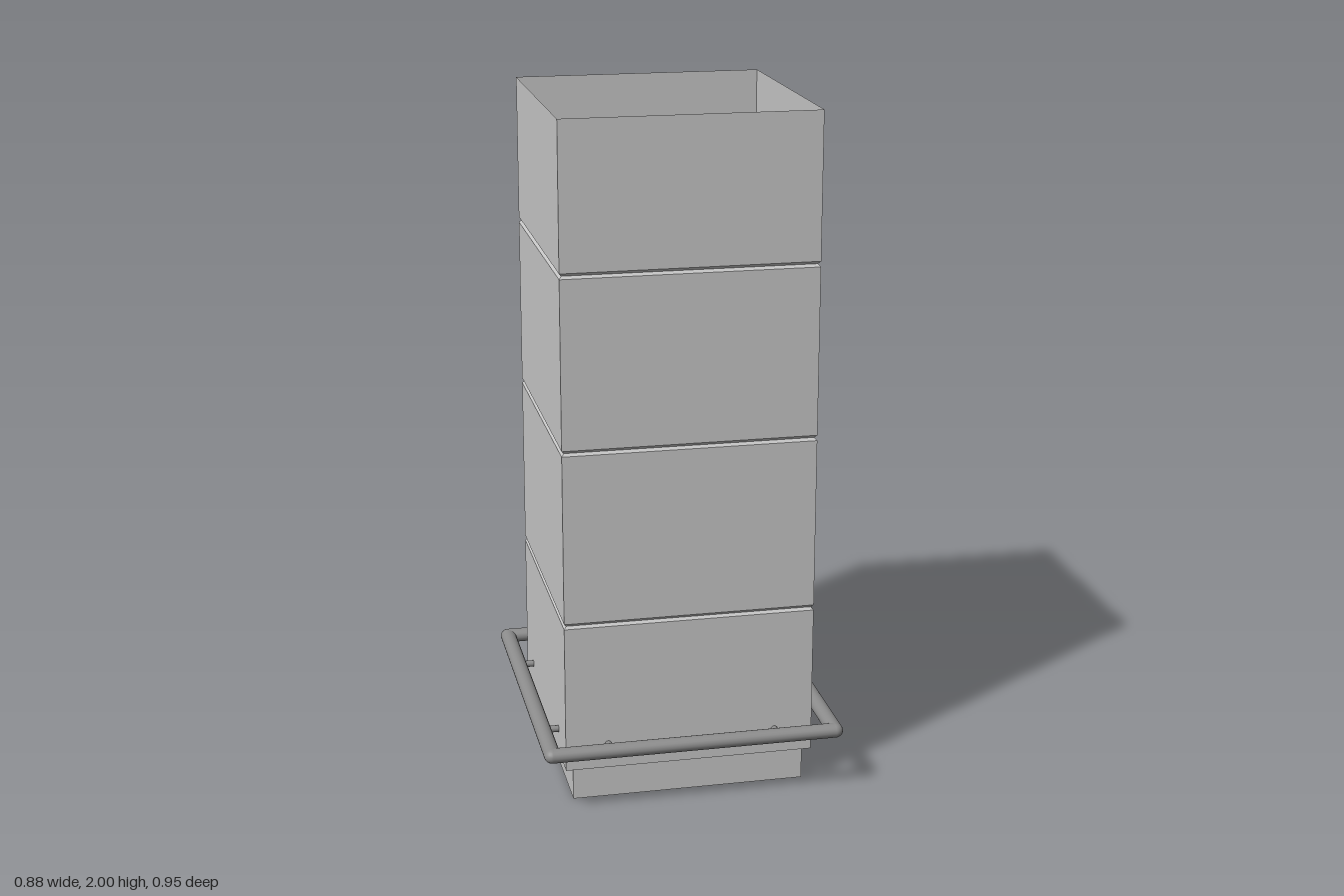
import * as THREE from 'three';

const shellMat = new THREE.MeshStandardMaterial({ color: 0xc8c8c8, side: THREE.DoubleSide });
shellMat.name = 'light grey sheet';
const railMat = new THREE.MeshStandardMaterial({ color: 0x8c8c8c });
railMat.name = 'dark grey rail';

// Thin open square duct: each level is [halfX, y, halfZ], joined by four flat walls
function squareDuct(levels) {
  const pos = [];
  const corner = ([hx, y, hz], k) => {
    const [sx, sz] = [[1, 1], [1, -1], [-1, -1], [-1, 1]][k % 4];
    return [sx * hx, y, sz * hz];
  };
  for (let i = 0; i < levels.length - 1; i++) {
    for (let k = 0; k < 4; k++) {
      const a = corner(levels[i], k), b = corner(levels[i], k + 1);
      const c = corner(levels[i + 1], k + 1), d = corner(levels[i + 1], k);
      pos.push(...a, ...b, ...c, ...a, ...c, ...d);
    }
  }
  const g = new THREE.BufferGeometry();
  g.setAttribute('position', new THREE.Float32BufferAttribute(pos, 3));
  g.computeVertexNormals();
  return g;
}

// Straight round bar between two points
function bar(name, from, to, radius, sides) {
  const a = new THREE.Vector3(...from), b = new THREE.Vector3(...to);
  const mesh = new THREE.Mesh(new THREE.CylinderGeometry(radius, radius, a.distanceTo(b), sides), railMat);
  mesh.name = name;
  mesh.position.copy(a).add(b).multiplyScalar(0.5);
  mesh.quaternion.setFromUnitVectors(new THREE.Vector3(0, 1, 0), b.sub(a).normalize());
  return mesh;
}

export function createModel() {
  const model = new THREE.Group();
  model.name = 'squareFlue';

  // Duct with narrower spigot at the foot and three V grooves
  const HX = 0.367, HZ = 0.375, inset = 0.007;
  const levels = [[0.344, 0, 0.358], [0.344, 0.1, 0.358], [HX, 0.1, HZ]];
  for (const y of [0.549, 1.066, 1.571]) {
    levels.push([HX, y - 0.008, HZ], [HX - inset, y, HZ - inset], [HX, y + 0.008, HZ]);
  }
  levels.push([HX, 2, HZ]);
  const duct = new THREE.Mesh(squareDuct(levels), shellMat);
  duct.name = 'duct';
  model.add(duct);

  // Rectangular rail with rounded corners
  const rail = new THREE.Group();
  rail.name = 'rail';
  const RX = 0.418, RZ = 0.45, r = 0.024;
  const ends = [[RX, 0, RZ], [RX, 0, -RZ], [-RX, 0, -RZ], [-RX, 0, RZ]];
  ends.forEach((p, i) => {
    rail.add(bar('railSide', p, ends[(i + 1) % 4], r, 20));
    const knee = new THREE.Mesh(new THREE.SphereGeometry(r, 20, 12), railMat);
    knee.name = 'railCorner';
    knee.position.set(...p);
    rail.add(knee);
  });
  rail.position.y = 0.188;
  rail.scale.y = 0.88;
  model.add(rail);

  // Stub brackets, two per side
  const brackets = new THREE.Group();
  brackets.name = 'brackets';
  const y = 0.174;
  for (const s of [-1, 1]) {
    for (const x of [-0.242, 0.254]) {
      brackets.add(bar('bracket', [x, y, s * 0.37], [x, y, s * RZ], 0.01, 12));
    }
    for (const z of [-0.244, 0.243]) {
      brackets.add(bar('bracket', [s * 0.358, y, z], [s * RX, y, z], 0.01, 12));
    }
  }
  model.add(brackets);

  return model;
}
